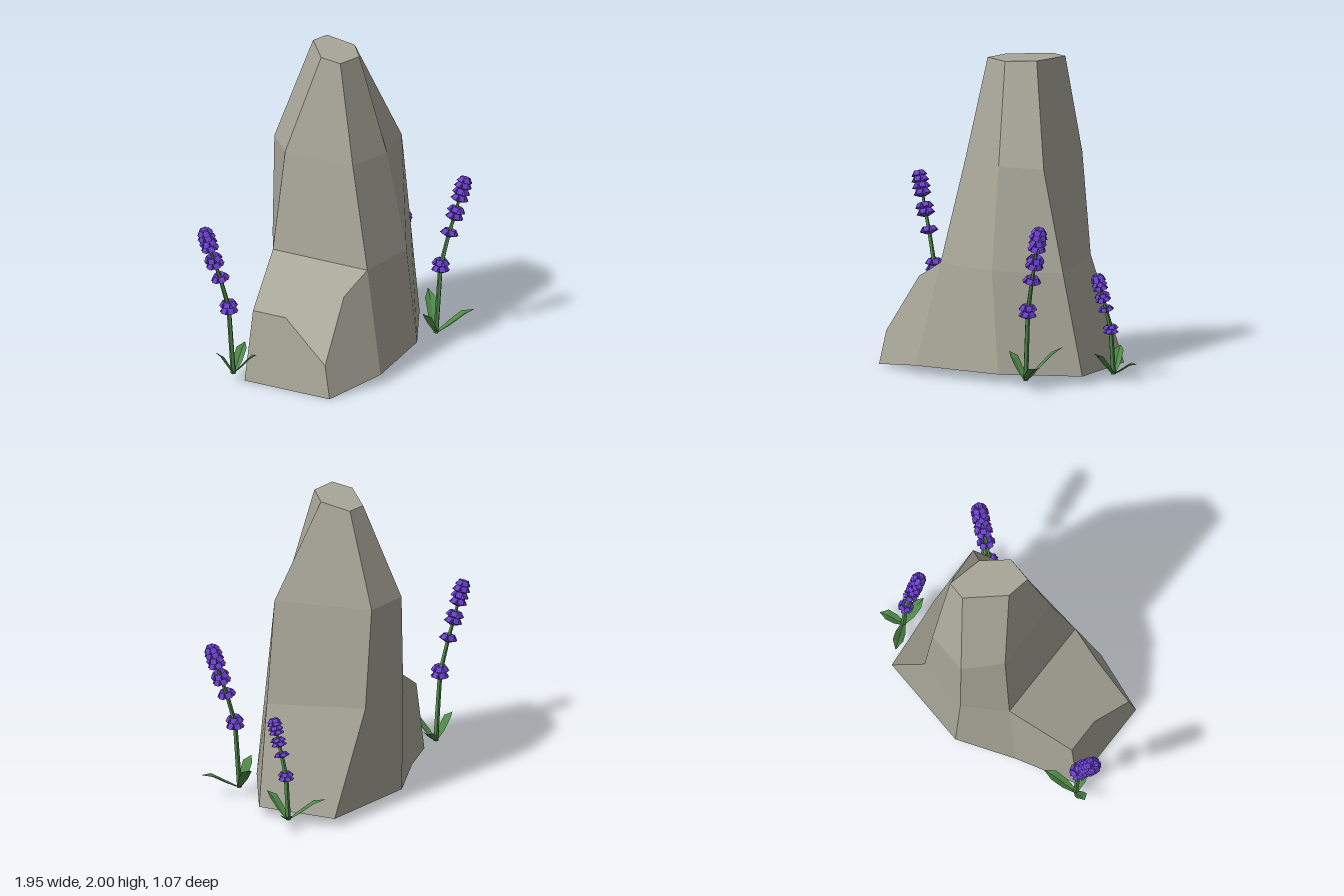
import * as THREE from 'three';
import { mergeGeometries } from 'three/addons/utils/BufferGeometryUtils.js';

const stone = new THREE.MeshStandardMaterial({ color: 0xa8a698 });
stone.name = 'stone';
const leafGreen = new THREE.MeshStandardMaterial({ color: 0x4e8848, flatShading: true, side: THREE.DoubleSide });
leafGreen.name = 'leaf green';
const petalPurple = new THREE.MeshStandardMaterial({ color: 0x693fcb, flatShading: true });
petalPurple.name = 'petal purple';

const V = (x, y, z) => new THREE.Vector3(x, y, z);
const UP = V(0, 1, 0);

// Flat-shaded polygons (outward, counter-clockwise), one averaged normal each
function polygons(list) {
  const pos = [], nor = [];
  for (const poly of list) {
    const p = poly.map((c) => V(...c));
    const n = V(0, 0, 0);
    p.forEach((a, i) => n.add(a.clone().cross(p[(i + 1) % p.length])));
    n.normalize();
    for (let i = 1; i < p.length - 1; i++) {
      for (const c of [p[0], p[i], p[i + 1]]) {
        pos.push(c.x, c.y, c.z);
        nor.push(n.x, n.y, n.z);
      }
    }
  }
  const g = new THREE.BufferGeometry();
  g.setAttribute('position', new THREE.Float32BufferAttribute(pos, 3));
  g.setAttribute('normal', new THREE.Float32BufferAttribute(nor, 3));
  return g;
}

function named(geometry, material, name) {
  const m = new THREE.Mesh(geometry, material);
  m.name = name;
  return m;
}

// Six-sided pillar with a shoulder on its right side
function makeRock() {
  // columns: front left, front right, right, back right, back left, left
  const rings = [
    [0.06, [[-0.1, 0.535], [0.45, 0.315], [0.84, -0.05], [0.67, -0.535], [0.03, -0.535], [-0.31, -0.32]]],
    [0.71, [[-0.05, 0.37], [0.37, 0.3], [0.71, 0.0], [0.36, -0.52], [0, -0.52], [-0.22, -0.3]]],
    [1.36, [[-0.01, 0.2], [0.305, 0.19], [0.58, 0.05], [0.29, -0.51], [0.005, -0.51], [-0.14, -0.27]]],
    [2.0, [[0.03, 0.05], [0.2, 0.05], [0.32, -0.11], [0.315, -0.35], [0.19, -0.35], [0.02, -0.11]]],
  ].map(([y, pts]) => pts.map(([x, z]) => [x, y, z]));
  const faces = [];
  for (let r = 0; r < 3; r++) {
    for (let i = 0; i < 6; i++) {
      if (r === 0 && i === 5) continue; // the shoulder fills this side
      const j = (i + 1) % 6;
      faces.push([rings[r][i], rings[r][j], rings[r + 1][j], rings[r + 1][i]]);
    }
  }
  faces.push(rings[3]);
  // Shoulder
  const A = rings[1][5], B = rings[1][0], P = rings[0][5], Q = rings[0][0];
  const C = [-0.26, 0.59, 0.37], D = [-0.5, 0.21, 0.44], E = [-0.54, 0.46, 0.13];
  const F = [-0.6, 0.46, -0.1], G = [-0.665, 0, -0.11], H = [-0.51, 0, 0.49];
  faces.push([E, D, C, B, A, F]);
  faces.push([P, G, F, A], [G, H, D, E, F], [H, Q, B, C, D]);
  // Underside
  faces.push([G, P, Q, H], [...rings[0]].reverse());
  return named(polygons(faces), stone, 'rock');
}

// Tapered stem piece between two points
function stemPiece(a, b, r0, r1) {
  const d = b.clone().sub(a);
  const g = new THREE.CylinderGeometry(r1, r0, d.length(), 5);
  g.applyQuaternion(new THREE.Quaternion().setFromUnitVectors(UP, d.normalize()));
  return g.translate(...a.clone().add(b).multiplyScalar(0.5).toArray());
}

// Folded pointed leaf from the origin to a tip
function leaf(tip) {
  const side = V(-tip.z, 0, tip.x).normalize();
  const at = (t, lift, w) => tip.clone().multiplyScalar(t).add(V(0, lift, 0)).addScaledVector(side, w).toArray();
  // fraction along the leaf, lift, half width
  const rows = [[0, 0, 0.012], [0.35, 0.012, 0.032], [0.7, 0.025, 0.034], [1, 0, 0.001]];
  const faces = [];
  for (let i = 0; i < 3; i++) {
    const [t0, l0, w0] = rows[i], [t1, l1, w1] = rows[i + 1];
    for (const s of [-1, 1]) {
      const q = [at(t0, l0 - w0 * 0.4, 0), at(t1, l1 - w1 * 0.4, 0), at(t1, l1, s * w1), at(t0, l0, s * w0)];
      faces.push(s > 0 ? q.reverse() : q);
    }
  }
  return polygons(faces);
}

// Whorl of flaring blocky petals stacked in tiers along +y
function whorl(tiers, radius) {
  const parts = [];
  for (let k = 0; k < tiers; k++) {
    for (let i = 0; i < 6; i++) {
      const p = new THREE.CylinderGeometry(0.027, 0.014, radius * 0.8, 4);
      p.rotateY(Math.PI / 4).rotateZ(-0.95).translate(radius * 0.5, (k - (tiers - 1) / 2) * 0.042, 0);
      p.rotateY(((i + k * 0.5) / 6) * Math.PI * 2);
      parts.push(p);
    }
  }
  return mergeGeometries(parts);
}

// Flower plant: lean is the horizontal drift of the stem tip
function makePlant(name, base, lean, height, size, leafTips) {
  const plant = new THREE.Group();
  plant.name = name;
  plant.position.set(...base);
  // fraction of lean, height
  const path = [[0, 0], [0.16, 0.455], [0.46, 0.67], [0.67, 0.795], [0.88, 0.935], [1, 1.01]]
    .map(([f, y]) => V(lean[0] * f, y * height, lean[1] * f));
  const stem = [];
  for (let i = 0; i < 5; i++) {
    stem.push(stemPiece(path[i], path[i + 1], 0.017 - i * 0.002, 0.015 - i * 0.002));
  }
  plant.add(named(mergeGeometries(stem), leafGreen, 'stem'));

  const blooms = [];
  const whorls = [[2, 0.054], [1, 0.056], [2, 0.056], [3, 0.054], [1, 0.045]];
  whorls.forEach(([tiers, r], i) => {
    const dir = path[i + 1].clone().sub(path[i]).normalize();
    const w = whorl(tiers, r).scale(size, size * Math.sqrt(height), size);
    w.applyQuaternion(new THREE.Quaternion().setFromUnitVectors(UP, dir));
    blooms.push(w.translate(...path[i + 1].toArray()));
  });
  plant.add(named(mergeGeometries(blooms), petalPurple, 'blooms'));

  plant.add(named(mergeGeometries(leafTips.map((t) => leaf(V(...t)))), leafGreen, 'leaves'));
  return plant;
}

export function createModel() {
  const model = new THREE.Group();
  model.name = 'rockWithFlowers';
  model.add(makeRock());
  model.add(makePlant('rightFlower', [-0.715, 0.05, -0.16], [-0.22, -0.035], 1, 1,
    [[0.2, 0.13, -0.095], [0.06, 0.15, 0.15], [-0.125, 0.165, -0.03]]));
  model.add(makePlant('frontLeftFlower', [0.665, 0.05, 0.27], [0.2, 0.055], 0.98, 1,
    [[-0.135, 0.17, 0.02], [0.13, 0.21, -0.2], [0.235, 0.125, 0.11]]));
  model.add(makePlant('backLeftFlower', [0.845, 0.045, -0.3], [-0.005, 0.125], 0.63, 0.85,
    [[-0.145, 0.14, -0.18], [0.13, 0.07, -0.085], [0.01, 0.155, 0.17]]));
  return model;
}
